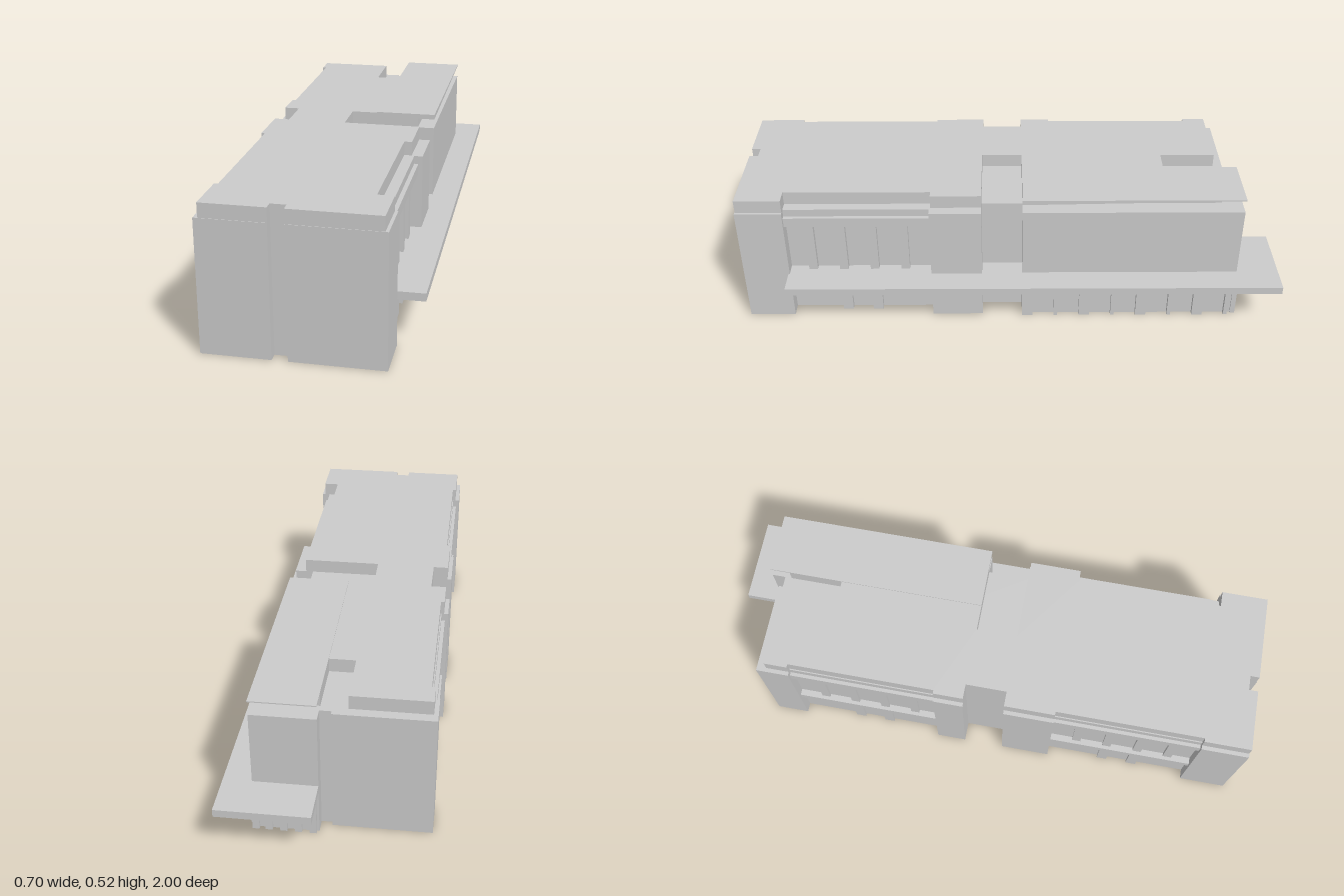
import * as THREE from 'three';

const material = new THREE.MeshStandardMaterial({ color: 0xcccccc, flatShading: true });

function add(parent, geometry, name) {
  const mesh = new THREE.Mesh(geometry, material);
  mesh.name = name;
  parent.add(mesh);
  return mesh;
}

// Box given by its lower and upper limits on each axis
function block(parent, name, [x0, x1], [y0, y1], [z0, z1]) {
  const g = new THREE.BoxGeometry(Math.abs(x1 - x0), y1 - y0, Math.abs(z1 - z0));
  g.translate((x0 + x1) / 2, (y0 + y1) / 2, (z0 + z1) / 2);
  return add(parent, g, name);
}

// Plan outline of [x, z] points raised from y0 to y1
function storey(parent, name, plan, y0, y1) {
  const shape = new THREE.Shape(plan.map(([x, z]) => new THREE.Vector2(x, -z)));
  const g = new THREE.ExtrudeGeometry(shape, { depth: y1 - y0, bevelEnabled: false });
  g.rotateX(-Math.PI / 2).translate(0, y0, 0);
  return add(parent, g, name);
}

// Recessed window bay: lintel, sill and piers standing in front of the glass wall
function windowBay(parent, name, glassX, pierX, bandX, z0, z1, sill) {
  const bay = new THREE.Group();
  bay.name = name;
  const length = z1 - z0;
  block(bay, 'bayHead', [glassX, pierX], [0.435, 0.466], [z0, z1]);
  block(bay, 'lintel', [glassX, bandX], [0.4, 0.437], [z0, z1]);
  if (sill) block(bay, 'sill', [glassX, bandX], [0.167, 0.195], [z0, z1]);
  for (let i = 0; i < 4; i++) {
    const z = z0 + length * (0.185 + i * 0.218);
    block(bay, 'windowPier', [glassX, pierX], [0.195, 0.4], [z - 0.016, z + 0.016]);
    if (i === 1 || i === 2) {
      block(bay, 'groundPier', [glassX, pierX], [0, 0.167], [z - 0.019, z + 0.019]);
    }
  }
  parent.add(bay);
}

export function createModel() {
  const model = new THREE.Group();
  model.name = 'building';

  // Main walls with front slot, side recesses and window bays
  storey(model, 'walls', [
    [-0.35, 1], [-0.115, 1], [-0.115, 0.965], [-0.062, 0.965], [-0.062, 1], [0.257, 1],
    [0.257, 0.83], [0.205, 0.83], [0.205, 0.3], [0.257, 0.3], [0.257, 0.11],
    [0.19, 0.11], [0.19, -0.04], [0.252, -0.04], [0.252, -0.845],
    [0.03, -0.845], [0.03, -0.795], [-0.01, -0.795], [-0.01, -0.81], [-0.35, -0.81],
    [-0.35, -0.69], [-0.315, -0.69], [-0.315, -0.15], [-0.35, -0.15],
    [-0.35, -0.04], [-0.28, -0.04], [-0.28, 0.11], [-0.35, 0.11],
    [-0.35, 0.295], [-0.315, 0.295], [-0.315, 0.83], [-0.35, 0.83],
  ], 0, 0.466);

  // Raised roof, set back from the walls, with a terrace cut-out
  storey(model, 'roof', [
    [-0.335, 0.998], [-0.115, 0.998], [-0.115, 0.965], [-0.062, 0.965], [-0.062, 0.998], [0.246, 0.998],
    [0.246, 0.83], [0.19, 0.83], [0.19, 0.295], [0.217, 0.295], [0.217, 0.11],
    [-0.065, 0.11], [-0.065, -0.04], [0.19, -0.04], [0.19, -0.77],
    [0.03, -0.77], [0.03, -0.57], [-0.062, -0.57], [-0.062, -0.775], [-0.335, -0.775],
    [-0.335, -0.69], [-0.322, -0.69], [-0.322, -0.15], [-0.335, -0.15],
    [-0.335, -0.04], [-0.28, -0.04], [-0.28, 0.11], [-0.335, 0.11],
    [-0.335, 0.295], [-0.322, 0.295], [-0.322, 0.83], [-0.335, 0.83],
  ], 0.466, 0.516);

  // Thin tapered roof plate over the upper floor
  const profile = new THREE.Shape([[0.04, 0.501], [0.845, 0.515], [0.845, 0.519], [0.04, 0.519]]
    .map(([d, y]) => new THREE.Vector2(d, y)));
  const plate = new THREE.ExtrudeGeometry(profile, { depth: 0.223, bevelEnabled: false });
  plate.rotateY(Math.PI / 2).translate(0.03, 0, 0);
  add(model, plate, 'roofPlate');

  // Canopy running along the side and round the back corner
  storey(model, 'canopy', [
    [0.19, 0.835], [0.35, 0.835], [0.35, -1], [0.03, -1], [0.03, -0.84], [0.19, -0.84],
  ], 0.167, 0.195);

  windowBay(model, 'leftBay', 0.205, 0.227, 0.242, 0.3, 0.83, false);
  windowBay(model, 'rightFrontBay', -0.315, -0.326, -0.339, 0.295, 0.83, true);
  windowBay(model, 'rightBackBay', -0.315, -0.326, -0.339, -0.69, -0.15, true);

  // Ground-floor piers below the canopy, alternately wide and narrow
  for (let i = 0; i < 8; i++) {
    const z = -0.06 - i * 0.1085;
    const half = i % 2 ? 0.007 : 0.02;
    block(model, 'sidePier', [0.245, 0.268], [0, 0.167], [z - half, z + half]);
  }
  for (const x of [0.05, 0.1, 0.15, 0.2, 0.245]) {
    block(model, 'backPier', [x - 0.012, x + 0.012], [0, 0.167], [-0.84, -0.858]);
  }
  return model;
}
